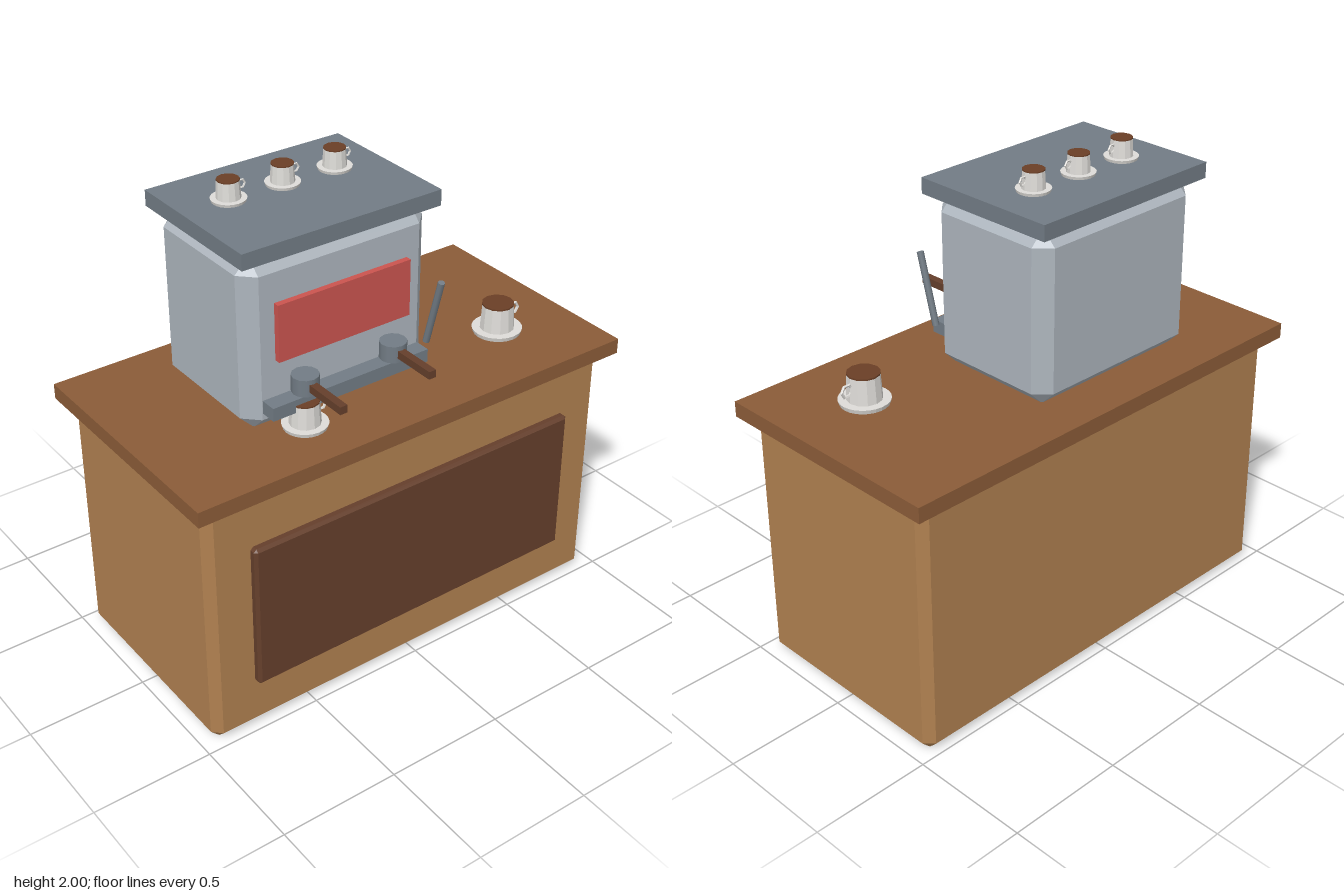
import * as THREE from 'three';
import { ConvexGeometry } from 'three/addons/geometries/ConvexGeometry.js';

const mat = (name, color, extra = {}) => {
  const m = new THREE.MeshStandardMaterial({ color, ...extra });
  m.name = name;
  return m;
};

// Box given by its ranges on x, y and z, with optional single-facet chamfers
function block(name, material, [x0, x1], [y0, y1], [z0, z1], bevel = 0) {
  const size = [x1 - x0, y1 - y0, z1 - z0];
  let geometry;
  if (bevel) {
    const points = [];
    for (const sx of [-1, 1]) for (const sy of [-1, 1]) for (const sz of [-1, 1]) {
      for (let outer = 0; outer < 3; outer++) {
        const c = [sx, sy, sz].map((s, i) => s * (size[i] / 2 - (i === outer ? 0 : bevel)));
        points.push(new THREE.Vector3(...c));
      }
    }
    geometry = new ConvexGeometry(points);
  } else {
    geometry = new THREE.BoxGeometry(...size);
  }
  const mesh = new THREE.Mesh(geometry, material);
  mesh.name = name;
  mesh.position.set((x0 + x1) / 2, (y0 + y1) / 2, (z0 + z1) / 2);
  return mesh;
}

// Cup, saucer, handle and coffee, one unit tall
function cup(china, coffee, x, y, z, height) {
  const group = new THREE.Group();
  group.name = 'cup';
  const add = (name, geometry, material, px, py) => {
    const mesh = new THREE.Mesh(geometry, material);
    mesh.name = name;
    mesh.position.set(px, py, 0);
    group.add(mesh);
  };
  add('saucer', new THREE.CylinderGeometry(0.8, 0.76, 0.14, 24), china, 0, 0.07);
  add('cupBody', new THREE.CylinderGeometry(0.5, 0.55, 0.82, 12), china, 0, 0.55);
  add('coffee', new THREE.CylinderGeometry(0.51, 0.51, 0.05, 12), coffee, 0, 0.975);
  add('cupHandle', new THREE.TorusGeometry(0.2, 0.05, 5, 6), china, 0.64, 0.59);
  group.position.set(x, y, z);
  group.scale.setScalar(height);
  return group;
}

export function createModel() {
  const wood = mat('wood', 0xb08050);
  const topWood = mat('counter wood', 0x8b5c38);
  const darkWood = mat('dark wood', 0x653f2b);
  const steel = mat('light steel', 0xadb5bd);
  const grey = mat('dark steel', 0x727c85);
  const red = mat('red', 0xcb544f);
  const china = mat('china', 0xdedcd8, { flatShading: true });
  const coffee = mat('coffee', 0x6b3f26);

  const model = new THREE.Group();
  model.name = 'coffeeCounter';

  // Counter
  model.add(
    block('counterBody', wood, [-0.95, 0.95], [0, 1.08], [-0.48, 0.47], 0.036),
    block('counterTop', topWood, [-1, 1], [1.08, 1.145], [-0.527, 0.517]),
    block('frontPanel', darkWood, [-0.763, 0.763], [0.22, 0.86], [0.44, 0.503], 0.012),
  );

  // Coffee machine
  const machine = new THREE.Group();
  machine.name = 'coffeeMachine';
  machine.add(
    block('machineBody', steel, [-0.6, 0.237], [1.14, 1.852], [-0.36, 0.235], 0.06),
    block('machineTop', grey, [-0.62, 0.26], [1.85, 1.915], [-0.387, 0.257]),
    block('redPanel', red, [-0.477, 0.12], [1.435, 1.67], [0.22, 0.26]),
    block('dripTray', grey, [-0.537, 0.18], [1.228, 1.283], [0.2, 0.303]),
  );

  // Two brewing heads with their handles
  for (const x of [-0.385, 0.02]) {
    const head = new THREE.Mesh(new THREE.CylinderGeometry(0.054, 0.054, 0.07, 12), grey);
    head.name = 'brewHead';
    head.position.set(x, 1.337, 0.29);
    machine.add(head, block('brewHandle', darkWood,
      [x - 0.016, x + 0.016], [1.321, 1.353], [0.29, 0.527]));
  }

  // Tilted steam wand
  const wand = new THREE.Mesh(new THREE.CylinderGeometry(0.014, 0.014, 0.3, 8), grey);
  wand.name = 'steamWand';
  wand.position.set(0.212, 1.43, 0.292);
  wand.rotation.x = 0.27;
  machine.add(wand);
  model.add(machine);

  // Cups on the machine and on the counter
  for (const x of [-0.42, -0.182, 0.056]) model.add(cup(china, coffee, x, 1.915, -0.13, 0.086));
  model.add(cup(china, coffee, -0.385, 1.145, 0.285, 0.113));
  model.add(cup(china, coffee, 0.652, 1.145, 0.17, 0.129));

  return model;
}
